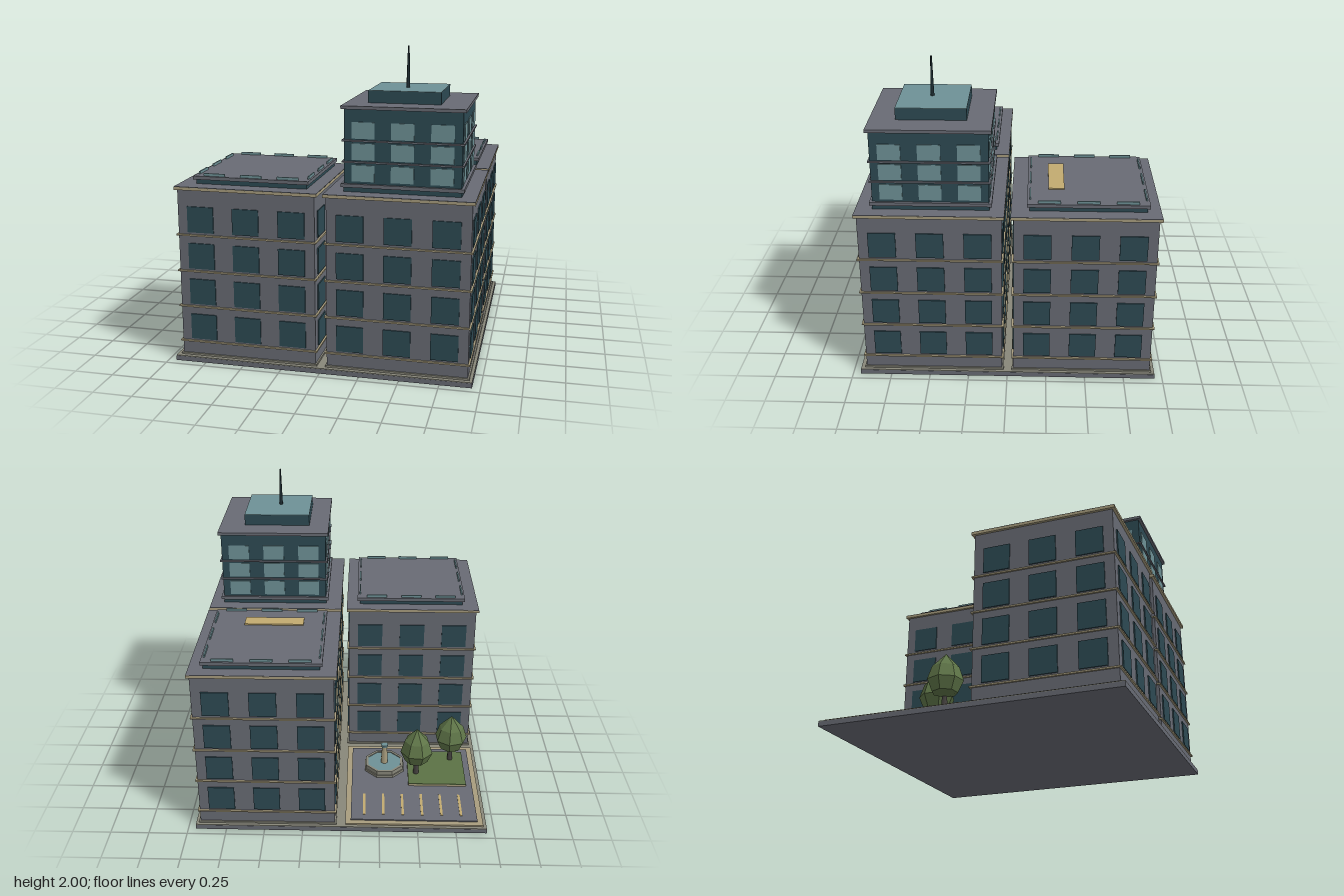
import * as THREE from 'three';

const mat = (name, hex) => {
  const m = new THREE.MeshStandardMaterial({ color: hex });
  m.name = name;
  return m;
};

export function createModel() {
  const grey = mat('stone grey', 0x686b74);
  const tan = mat('tan trim', 0xa89d7e);
  const khaki = mat('paving khaki', 0x88877a);
  const dark = mat('dark glass', 0x2d4a53);
  const light = mat('light glass', 0x6e9196);
  const yellow = mat('yellow paint', 0xc2ab70);
  const grass = mat('grass green', 0x5c7245);
  const leaf = mat('leaf green', 0x5f7548);
  leaf.flatShading = true;
  const bark = mat('bark', 0x45423f);
  const black = mat('mast black', 0x1c2b30);

  const model = new THREE.Group();
  model.name = 'cityBlock';

  const add = (parent, name, geo, m, x = 0, y = 0, z = 0) => {
    const mesh = new THREE.Mesh(geo, m);
    mesh.name = name;
    mesh.position.set(x, y, z);
    parent.add(mesh);
    return mesh;
  };
  // Box given by half width, half depth and its bottom and top heights
  const slab = (parent, name, hx, hz, y0, y1, m, x = 0, z = 0) =>
    add(parent, name, new THREE.BoxGeometry(2 * hx, y1 - y0, 2 * hz), m, x, (y0 + y1) / 2, z);
  const group = (name, x, z, parent = model) => {
    const g = new THREE.Group();
    g.name = name;
    g.position.set(x, 0, z);
    parent.add(g);
    return g;
  };
  // Rows of three panes on all four sides
  const panes = (parent, half, spacing, w, h, rows, m, thick = 0.009) => {
    const geo = new THREE.BoxGeometry(w, h, thick);
    for (let side = 0; side < 4; side++) {
      const face = group('windowSide', 0, 0, parent);
      face.rotation.y = side * Math.PI / 2;
      for (const y of rows)
        for (const i of [-1, 0, 1]) add(face, 'window', geo, m, i * spacing, y, half);
    }
  };

  // Ground base with paved top
  slab(model, 'base', 0.95, 0.95, 0, 0.03, grey);
  slab(model, 'paving', 0.949, 0.949, 0.03, 0.035, khaki);

  // Four-storey blocks
  const block = (name, x, z) => {
    const b = group(name, x, z);
    slab(b, 'plinth', 0.45, 0.45, 0.035, 0.047, khaki);
    slab(b, 'walls', 0.44, 0.44, 0.047, 1.125, grey);
    for (const y of [0.13, 0.365, 0.6, 0.835]) slab(b, 'belt', 0.452, 0.452, y - 0.005, y + 0.005, tan);
    panes(b, 0.443, 0.293, 0.17, 0.166, [0.23, 0.465, 0.7, 0.937], dark);
    slab(b, 'cornice', 0.457, 0.457, 1.125, 1.143, tan);
    slab(b, 'roof', 0.456, 0.456, 1.143, 1.146, grey);
  };
  block('frontRightBlock', -0.472, 0.473);
  block('frontLeftBlock', 0.48, 0.473);
  block('backLeftBlock', 0.48, -0.479);

  // Low roof storey, shared by every block
  const roofStorey = (name, x, z) => {
    const s = group(name, x, z);
    slab(s, 'recess', 0.358, 0.358, 1.146, 1.175, dark);
    slab(s, 'ledge', 0.373, 0.373, 1.175, 1.197, grey);
    return s;
  };
  for (const s of [roofStorey('frontRightPenthouse', -0.462, 0.463), roofStorey('backLeftPenthouse', 0.486, -0.493)])
    panes(s, 0.355, 0.238, 0.138, 0.018, [1.205], light);
  slab(model, 'roofPanel', 0.193, 0.05, 1.197, 1.206, yellow, 0.453, -0.3);

  // Glass tower
  const tower = roofStorey('tower', 0.488, 0.466);
  slab(tower, 'towerWalls', 0.356, 0.356, 1.197, 1.65, dark);
  panes(tower, 0.358, 0.238, 0.138, 0.1, [1.262, 1.394, 1.523], light);
  for (const y of [1.33, 1.46]) slab(tower, 'towerBelt', 0.368, 0.368, y - 0.005, y + 0.005, grey);
  slab(tower, 'towerRoof', 0.374, 0.374, 1.65, 1.67, grey);
  slab(model, 'plantRoom', 0.222, 0.216, 1.67, 1.742, dark, 0.471, 0.463);
  slab(model, 'plantRoomRoof', 0.222, 0.216, 1.742, 1.745, light, 0.471, 0.463);
  add(model, 'mast', new THREE.CylinderGeometry(0.005, 0.012, 0.255, 8), black, 0.46, 1.8725, 0.476);

  // Courtyard
  const yard = group('courtyard', -0.478, -0.478);
  slab(yard, 'kerb', 0.45, 0.45, 0.035, 0.045, tan);
  slab(yard, 'yardFloor', 0.415, 0.415, 0.045, 0.053, grey);
  for (let i = 0; i < 6; i++)
    slab(model, 'parkingLine', 0.008, 0.112, 0.053, 0.057, yellow, -0.79 + i * 0.128, -0.73);
  slab(model, 'lawnEdge', 0.198, 0.198, 0.05, 0.066, tan, -0.652, -0.32);
  slab(model, 'lawn', 0.198, 0.198, 0.066, 0.071, grass, -0.652, -0.32);

  // Trees
  const crownProfile = [[0, 0.15], [0.08, 0.18], [0.113, 0.255], [0.085, 0.34], [0, 0.43]]
    .map(p => new THREE.Vector2(...p));
  for (const [x, z, turn] of [[-0.76, -0.21, 0.3], [-0.51, -0.385, 0.8]]) {
    const tree = group('tree', x, z);
    tree.rotation.y = turn;
    add(tree, 'trunk', new THREE.CylinderGeometry(0.014, 0.02, 0.13, 7), bark, 0, 0.13, 0);
    add(tree, 'crown', new THREE.LatheGeometry(crownProfile, 7), leaf);
  }

  // Octagonal fountain: hollow basin, water and column
  const fountain = group('fountain', -0.29, -0.29);
  fountain.rotation.y = Math.PI / 8;
  const stone = mat('fountain stone', 0x88877a);
  stone.color.copy(khaki.color);
  const basinProfile = [[0.148, 0.053], [0.148, 0.07], [0.14, 0.07], [0.14, 0.1], [0.122, 0.1], [0.122, 0.08]];
  const basin = new THREE.LatheGeometry(basinProfile.map(p => new THREE.Vector2(...p)), 8).toNonIndexed();
  basin.computeVertexNormals();
  add(fountain, 'basin', basin, khaki);
  add(fountain, 'water', new THREE.CylinderGeometry(0.122, 0.122, 0.008, 8), light, 0, 0.09, 0);
  add(fountain, 'column', new THREE.CylinderGeometry(0.019, 0.026, 0.13, 8), tan, 0, 0.155, 0);
  add(fountain, 'columnCap', new THREE.CylinderGeometry(0.026, 0.022, 0.02, 8), light, 0, 0.23, 0);

  return model;
}
